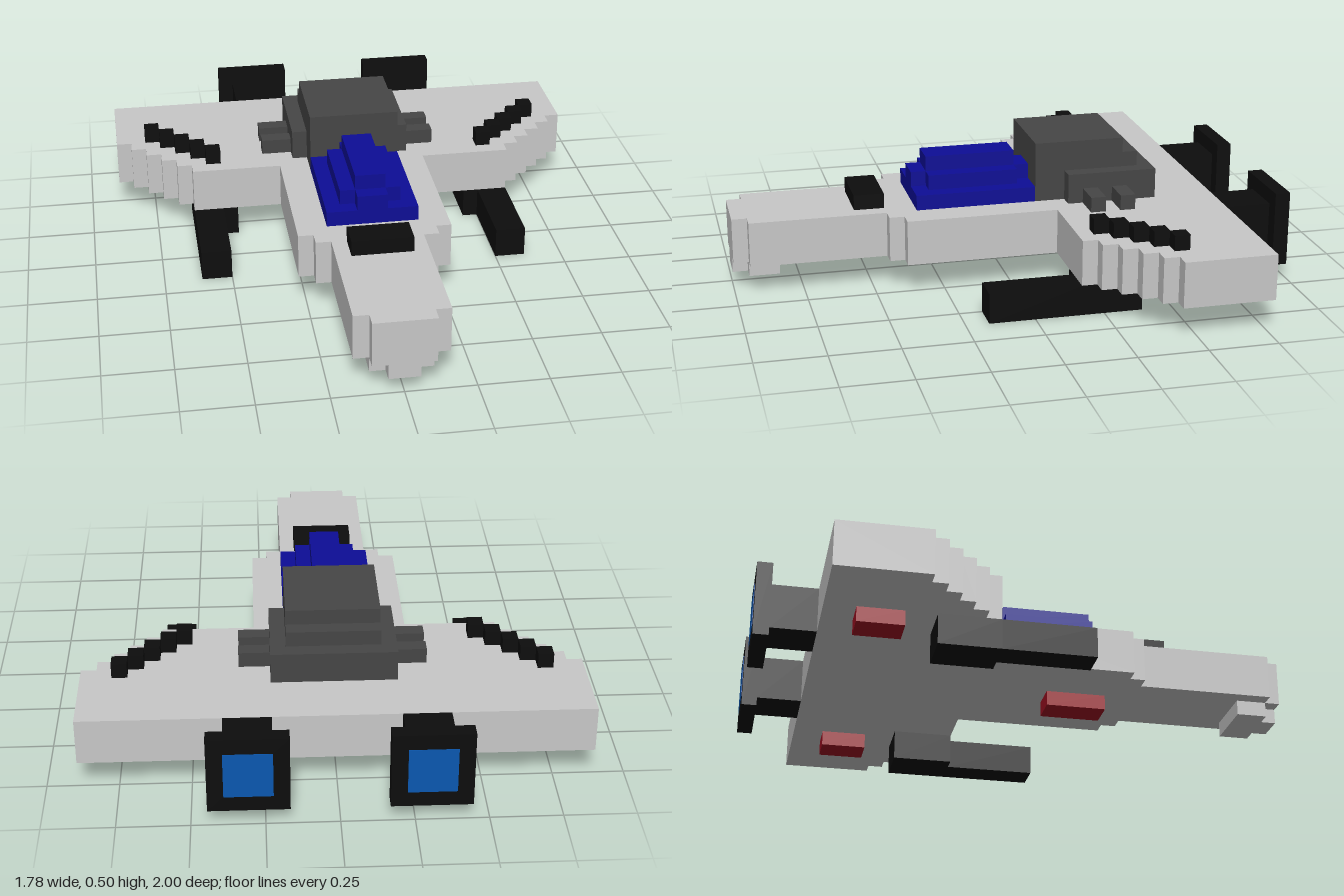
import * as THREE from 'three';

const U = 1 / 18; // one voxel

const mat = (name, color) => {
  const m = new THREE.MeshStandardMaterial({ color });
  m.name = name;
  return m;
};

export function createModel() {
  const model = new THREE.Group();
  model.name = 'spaceFighter';
  const hullGrey = mat('hullGrey', 0xc8c8c8);
  const darkGrey = mat('darkGrey', 0x464646);
  const black = mat('black', 0x0d0d0d);
  const canopyBlue = mat('canopyBlue', 0x0d0d96);
  const red = mat('red', 0xa01022);
  const glowBlue = mat('glowBlue', 0x0a58b0);

  // Box between two corners, in voxels
  const box = (name, material, x0, x1, y0, y1, z0, z1) => {
    const mesh = new THREE.Mesh(
      new THREE.BoxGeometry((x1 - x0) * U, (y1 - y0) * U, (z1 - z0) * U), material);
    mesh.position.set((x0 + x1) / 2 * U, (y0 + y1) / 2 * U, (z0 + z1) / 2 * U);
    mesh.name = name;
    model.add(mesh);
  };
  // Box centred on x = 0
  const mid = (name, material, half, ...rest) => box(name, material, -half, half, ...rest);
  // Mirrored pair of boxes
  const pair = (name, material, x0, x1, ...rest) => {
    box(name + 'Left', material, x0, x1, ...rest);
    box(name + 'Right', material, -x1, -x0, ...rest);
  };

  // Hull: stepped plan as [half width, front z], from the tail to the nose
  const steps = [[16, -8], [15, -7], [14, -6], [13, -5], [12, -4], [11, -3],
    [5, 7], [4, 8], [3, 17], [2, 18]];
  const half = [];
  let back = -14;
  for (const [w, front] of steps) {
    half.push([w, back], [w, front]);
    back = front;
  }
  const outline = [...half, ...half.map(([x, z]) => [-x, z]).reverse()];
  const hullGeo = new THREE.ExtrudeGeometry(
    new THREE.Shape(outline.map(([x, z]) => new THREE.Vector2(x * U, z * U))),
    { depth: 3 * U, bevelEnabled: false });
  hullGeo.rotateX(Math.PI / 2).translate(0, 5 * U, 0);
  const hull = new THREE.Mesh(hullGeo, hullGrey);
  hull.name = 'hull';
  model.add(hull);

  // Chin under the nose
  mid('chin', hullGrey, 2, 1, 2, 15, 17);
  mid('chinTip', hullGrey, 1, 1, 2, 17, 18);

  // Canopy in stepped layers, and the hatch ahead of it
  mid('canopyBase', canopyBlue, 3, 5, 6, -2, 6);
  mid('canopyMiddle', canopyBlue, 2, 6, 7, -1, 5);
  mid('canopyRidge', canopyBlue, 1, 6, 7, -2, 6);
  mid('canopyTop', canopyBlue, 1, 7, 8, -1, 5);
  mid('noseHatch', black, 2, 5, 6, 8, 10);

  // Engine housing behind the canopy
  mid('housingTop', darkGrey, 3, 5, 9, -8, -2);
  mid('housingBack', darkGrey, 3, 7, 8, -9, -8);
  mid('housingBase', darkGrey, 4, 5, 7, -10, -4);
  for (const z of [-8, -6]) pair('sideVent', darkGrey, 4, 6, 5, 6, z, z + 1);

  // Diagonal ridges on the wings
  for (let i = 0; i < 5; i++) pair('wingRidge', black, 9 + i, 10 + i, 5, 6, -5 - i, -4 - i);

  // Guns under the wings
  pair('gunBarrel', black, 9, 11, 0, 2, -3, 3);
  pair('gunMount', black, 8, 11, 0, 2, -7, -3);

  // Rear thrusters with a glowing panel
  pair('thrusterNeck', black, 4, 7, 2, 5, -17, -14);
  pair('thrusterFlare', black, 3, 8, 1, 6, -18, -17);
  pair('thrusterGlow', glowBlue, 4, 7, 2, 5, -18.04, -17.96);

  // Landing pads
  mid('frontPad', red, 1, 1, 2, 2, 6);
  pair('rearPad', red, 9, 11, 1, 2, -12, -9);

  return model;
}
